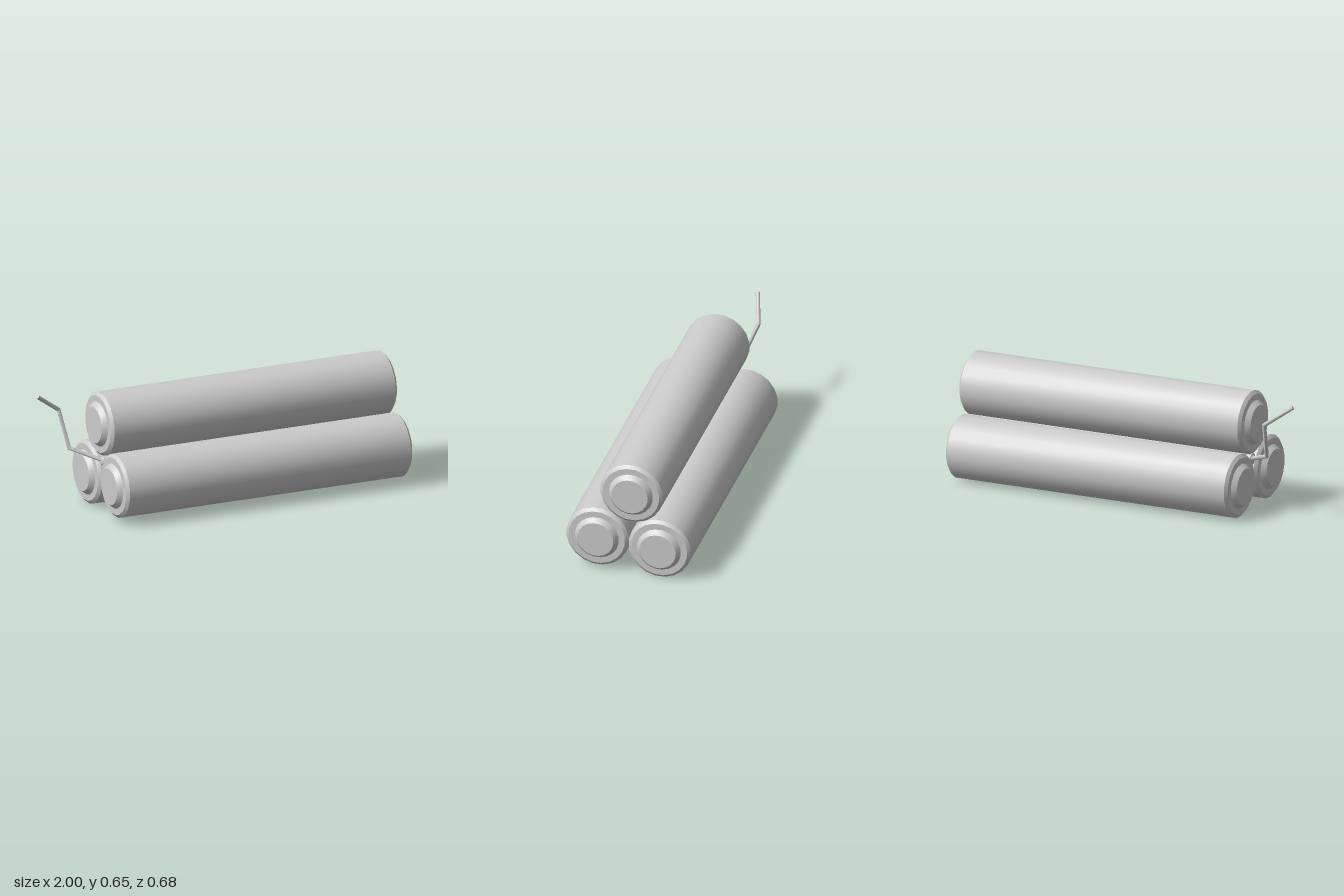
import * as THREE from 'three';
import { toCreasedNormals } from 'three/addons/utils/BufferGeometryUtils.js';

// Round stick along x with bevelled ends and a raised, tapered cap at each end
function stickGeometry(x0, x1, scale = 1) {
  const half = (x1 - x0) / 2;
  const end = [[0.172, 0.041], [0.155, 0.026], [0.121, 0.026], [0.099, 0], [0, 0]];
  const top = end.map(([r, d]) => new THREE.Vector2(r * scale, half - d * scale));
  const bottom = top.map((p) => new THREE.Vector2(p.x, -p.y)).reverse();
  const sides = 20;
  const geo = new THREE.LatheGeometry([...bottom, ...top], sides, Math.PI / sides);
  geo.rotateZ(-Math.PI / 2);
  geo.translate((x0 + x1) / 2, 0, 0);
  return toCreasedNormals(geo, 0.5);
}

// Bent cord: a round section swept along straight runs with mitred corners
function cordGeometry(path, radius, sides) {
  const dirs = path.slice(1).map((p, i) => p.clone().sub(path[i]).normalize());
  const u = new THREE.Vector3(0, 1, 0).cross(dirs[0]).normalize();
  const v = dirs[0].clone().cross(u);
  let ring = [];
  for (let j = 0; j < sides; j++) {
    const a = (j / sides) * Math.PI * 2;
    ring.push(path[0].clone()
      .addScaledVector(u, Math.cos(a) * radius)
      .addScaledVector(v, Math.sin(a) * radius));
  }
  const rings = [ring];
  for (let i = 1; i < path.length; i++) {
    const d = dirs[i - 1];
    const n = d.clone().add(dirs[i] || d).normalize();
    ring = ring.map((p) => {
      const t = path[i].clone().sub(p).dot(n) / d.dot(n);
      return p.clone().addScaledVector(d, t);
    });
    rings.push(ring);
  }
  const pos = [];
  const tri = (...pts) => pts.forEach((p) => pos.push(p.x, p.y, p.z));
  const last = rings.length - 1;
  for (let j = 0; j < sides; j++) {
    const k = (j + 1) % sides;
    for (let i = 0; i < last; i++) {
      tri(rings[i][j], rings[i][k], rings[i + 1][k]);
      tri(rings[i][j], rings[i + 1][k], rings[i + 1][j]);
    }
    tri(path[0], rings[0][k], rings[0][j]);
    tri(path[last], rings[last][j], rings[last][k]);
  }
  const geo = new THREE.BufferGeometry();
  geo.setAttribute('position', new THREE.Float32BufferAttribute(pos, 3));
  return toCreasedNormals(geo, 0.82);
}

export function createModel() {
  const group = new THREE.Group();
  const grey = new THREE.MeshStandardMaterial({ color: 0xcccccc });
  grey.name = 'light grey';

  const add = (name, geo, y = 0, z = 0) => {
    const mesh = new THREE.Mesh(geo, grey);
    mesh.name = name;
    mesh.position.set(0, y, z);
    group.add(mesh);
  };

  // Three sticks bundled in a triangle
  const stick = stickGeometry(-0.727, 1);
  add('frontStick', stick, 0.19, 0.171);
  add('backStick', stick, 0.17, -0.17);
  add('topStick', stick, 0.48, -0.016);

  // Small plug between the sticks that holds the fuse
  add('fusePlug', stickGeometry(-0.69, -0.37, 0.185), 0.275, -0.006);

  // Bent fuse
  const path = [
    [-0.67, 0.275, -0.006],
    [-0.823, 0.336, -0.113],
    [-0.848, 0.53, -0.19],
    [-0.994, 0.634, -0.143],
  ].map((p) => new THREE.Vector3(...p));
  add('fuse', cordGeometry(path, 0.011, 8));

  return group;
}
